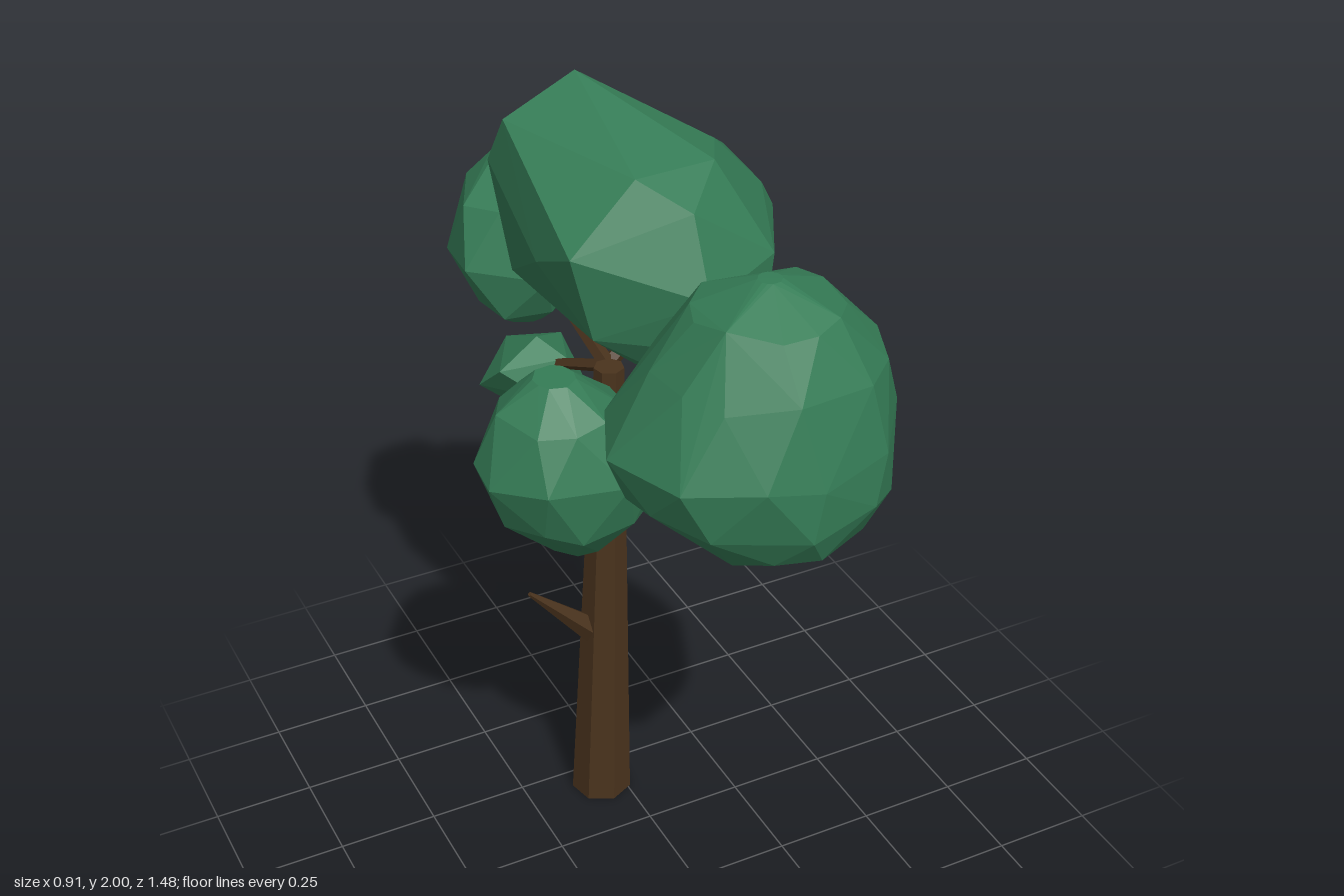
import * as THREE from 'three';
import { ConvexGeometry } from 'three/addons/geometries/ConvexGeometry.js';

const V = (p) => new THREE.Vector3(...p);

export function createModel() {
  const tree = new THREE.Group();
  tree.name = 'tree';
  const bark = new THREE.MeshStandardMaterial({ color: 0x4a331d, flatShading: true });
  const leaf = new THREE.MeshStandardMaterial({ color: 0x357c56, flatShading: true });

  const add = (name, geometry, material) => {
    const mesh = new THREE.Mesh(geometry, material);
    mesh.name = name;
    tree.add(mesh);
    return mesh;
  };

  // Tapered round piece between two points
  const limb = (name, from, to, r0, r1) => {
    const a = V(from), d = V(to).sub(a);
    const mesh = add(name, new THREE.CylinderGeometry(r1, r0, d.length(), 5), bark);
    mesh.position.copy(a).addScaledVector(d, 0.5);
    mesh.quaternion.setFromUnitVectors(new THREE.Vector3(0, 1, 0), d.normalize());
  };

  // Faceted foliage clump from its corner points
  const hull = (name, points) => add(name, new ConvexGeometry(points.map(V)), leaf);

  // Rounder clump: hull of staggered oval rings [y, xMin, xMax, zMin, zMax]
  const clump = (name, sides, rings) => {
    const points = [];
    rings.forEach(([y, x0, x1, z0, z1], r) => {
      const inner = r > 0 && r < rings.length - 1;
      for (let i = 0; i < sides; i++) {
        const t = ((i + r * 0.5 + 0.22 * Math.sin(i * 4.7 + r * 2.9)) / sides) * Math.PI * 2;
        points.push([
          (x0 + x1) / 2 + Math.cos(t) * (x1 - x0) * 0.52,
          y + (inner ? 0.012 * Math.sin(i * 2.3 + r * 5.1) : 0),
          (z0 + z1) / 2 + Math.sin(t) * (z1 - z0) * 0.52,
        ]);
      }
    });
    hull(name, points);
  };

  // Trunk, sheared so that its foot stays level
  const trunk = new THREE.CylinderGeometry(0.036, 0.077, 1, 7).translate(0, 0.5, 0);
  trunk.applyMatrix4(new THREE.Matrix4().makeBasis(V([1, 0, 0]), V([0.015, 1.29, 0.045]), V([0, 0, 1])));
  trunk.translate(-0.053, 0, -0.18);
  add('trunk', trunk, bark);

  // Broken stubs
  limb('rightStub', [-0.06, 0.51, -0.16], [-0.25, 0.7, -0.15], 0.038, 0.006);
  limb('leftStub', [-0.03, 0.43, -0.19], [0.04, 0.6, -0.34], 0.038, 0.005);

  // Branches
  const fork = [0.07, 1.14, -0.37];
  const elbow = [0.0, 1.19, 0.3];
  limb('backBranch', [-0.04, 1.08, -0.14], fork, 0.027, 0.021);
  limb('backLeftTwig', fork, [0.28, 1.25, -0.46], 0.021, 0.014);
  limb('backRightTwig', fork, [-0.06, 1.4, -0.47], 0.021, 0.014);
  limb('lowTwig', fork, [-0.02, 1.05, -0.6], 0.018, 0.012);
  limb('frontBranch', [-0.04, 1.08, -0.13], elbow, 0.025, 0.018);
  limb('frontTwig', elbow, [0.0, 1.32, 0.4], 0.018, 0.013);
  limb('rightBranch', [-0.04, 1.08, -0.13], [-0.2, 1.16, 0.06], 0.024, 0.014);

  // Crown, peaked and leaning down to the left and back
  hull('crown', [
    [-0.08, 2, -0.2], [-0.25, 1.92, -0.2], [-0.26, 1.8, -0.27], [0.04, 1.84, -0.36],
    [-0.1, 1.89, 0.13], [0.1, 1.88, 0.1], [-0.26, 1.75, 0.15], [0, 1.65, 0.28],
    [0, 1.82, 0.2], [0.2, 1.68, 0.19], [0.18, 1.85, -0.05], [-0.27, 1.68, 0],
    [-0.2, 1.5, -0.3], [0.05, 1.6, -0.42], [-0.21, 1.55, 0.15], [0, 1.4, 0.17],
    [0, 1.52, 0.25], [0, 1.32, -0.08], [0.28, 1.6, -0.43], [0.2, 1.74, -0.36],
    [0.34, 1.7, -0.3], [0.36, 1.63, -0.1], [0.33, 1.5, -0.2], [0.3, 1.72, -0.05],
    [0.29, 1.55, 0.03], [0.18, 1.5, 0.19], [0.25, 1.37, -0.3], [0.2, 1.31, -0.1],
    [0.05, 1.25, -0.18], [0.1, 1.36, 0.1], [0.05, 1.4, -0.36], [-0.05, 1.45, -0.35],
  ]);

  // Outer clumps
  clump('frontFoliage', 11, [
    [1.8, 0, 0.05, 0.45, 0.5], [1.74, -0.13, 0.18, 0.33, 0.62], [1.62, -0.21, 0.27, 0.24, 0.69],
    [1.46, -0.31, 0.31, 0.2, 0.73], [1.34, -0.26, 0.29, 0.2, 0.73],
    [1.25, -0.16, 0.23, 0.23, 0.69], [1.19, -0.03, 0.13, 0.4, 0.56],
  ]);
  clump('rightFoliage', 9, [
    [1.46, -0.33, -0.24, 0.06, 0.16], [1.38, -0.41, -0.13, -0.03, 0.23], [1.25, -0.455, -0.05, -0.08, 0.285],
    [1.12, -0.41, -0.06, -0.05, 0.25], [1.02, -0.3, -0.17, 0.05, 0.17],
  ]);
  clump('backRightFoliage', 7, [
    [1.69, -0.15, 0, -0.55, -0.47], [1.6, -0.24, 0.04, -0.61, -0.38], [1.45, -0.275, 0.06, -0.645, -0.3],
    [1.34, -0.22, 0.02, -0.6, -0.34], [1.28, -0.15, -0.05, -0.5, -0.42],
  ]);
  hull('backLeftFoliage', [
    [0.38, 1.53, -0.42], [0.26, 1.47, -0.64], [0.42, 1.44, -0.63], [0.45, 1.34, -0.47],
    [0.45, 1.24, -0.4], [0.13, 1.38, -0.48], [0.18, 1.42, -0.36], [0.32, 1.4, -0.29],
    [0.42, 1.23, -0.58], [0.2, 1.21, -0.4], [0.35, 1.2, -0.38], [0.22, 1.25, -0.58],
    [0.3, 1.2, -0.55], [0.25, 1.53, -0.5],
  ]);
  hull('lowFoliage', [
    [-0.04, 1.06, -0.74], [0.1, 1.05, -0.71], [0.09, 1, -0.55], [-0.02, 1.13, -0.59],
    [-0.14, 1.08, -0.55], [-0.16, 1, -0.64], [-0.04, 1, -0.5], [0.03, 1.09, -0.52],
    [-0.05, 0.91, -0.62], [0.02, 0.91, -0.69], [-0.1, 0.95, -0.7], [0.05, 0.93, -0.58],
  ]);

  return tree;
}
